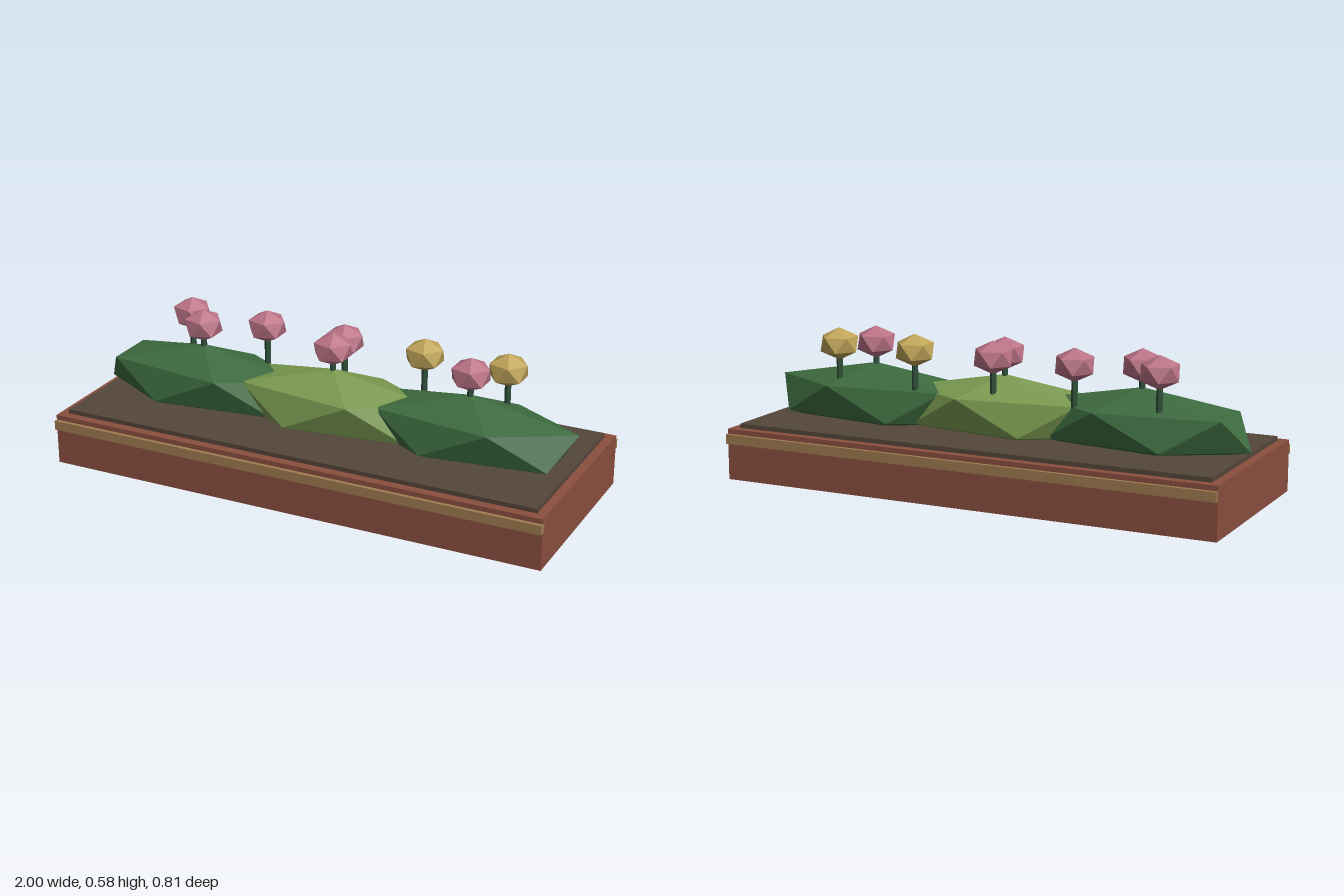
import * as THREE from 'three';

const paint = (name, color) => {
  const m = new THREE.MeshStandardMaterial({ color, flatShading: true });
  m.name = name;
  return m;
};

// Icosahedron standing on a point, with an upper-ring corner towards +x
function gem(rx, ry, rz) {
  const g = new THREE.IcosahedronGeometry(1, 0);
  g.rotateX(-Math.atan((1 + Math.sqrt(5)) / 2));
  g.rotateY(Math.PI / 2);
  g.scale(rx, ry, rz);
  g.computeVertexNormals();
  return g;
}

export function createModel() {
  const model = new THREE.Group();
  model.name = 'flowerPlanter';

  const terracotta = paint('terracotta', 0x8b4f3f);
  const wood = paint('trimWood', 0xa07c50);
  const soilBrown = paint('soilBrown', 0x54463a);
  const darkGreen = paint('darkLeaf', 0x3d6b3f);
  const lightGreen = paint('lightLeaf', 0x7a9a50);
  const stemGreen = paint('stemGreen', 0x2f4f3a);
  const pink = paint('pinkPetal', 0xba7386);
  const yellow = paint('yellowPetal', 0xc0a458);

  const add = (name, geometry, material, x, y, z, parent = model) => {
    const mesh = new THREE.Mesh(geometry, material);
    mesh.name = name;
    mesh.position.set(x, y, z);
    parent.add(mesh);
    return mesh;
  };

  // Trough, soil bed and the trim strips on the long sides
  add('trough', new THREE.BoxGeometry(2, 0.2, 0.78), terracotta, 0, 0.1, 0);
  add('soil', new THREE.BoxGeometry(1.93, 0.037, 0.71), soilBrown, 0, 0.1985, 0);
  for (const [name, side] of [['frontTrim', 1], ['backTrim', -1]]) {
    add(name, new THREE.BoxGeometry(2, 0.037, 0.03), wood, 0, 0.1625, side * 0.39);
  }

  // Three overlapping faceted bushes, sunk into the soil
  const bush = gem(0.475, 0.141, 0.194);
  add('leftBush', bush, darkGreen, 0.56, 0.292, 0);
  add('middleBush', bush, lightGreen, 0, 0.292, 0);
  add('rightBush', bush, darkGreen, -0.56, 0.292, 0);

  // Flowers: a back row of five and a middle row of three
  const stem = new THREE.CylinderGeometry(0.012, 0.012, 0.16, 6);
  const bloom = gem(0.0823, 0.064, 0.0823);
  const flowers = [
    [-0.667, -0.1, pink], [-0.333, -0.1, pink], [0, -0.1, pink],
    [0.333, -0.1, yellow], [0.667, -0.1, yellow],
    [-0.56, 0, pink], [0, 0, pink], [0.56, 0, pink],
  ];
  for (const [x, z, petal] of flowers) {
    const flower = new THREE.Group();
    flower.name = 'flower';
    flower.position.set(x, 0, z);
    add('stem', stem, stemGreen, 0, 0.4, 0, flower);
    add('bloom', bloom, petal, 0, 0.514, 0, flower);
    model.add(flower);
  }
  return model;
}
